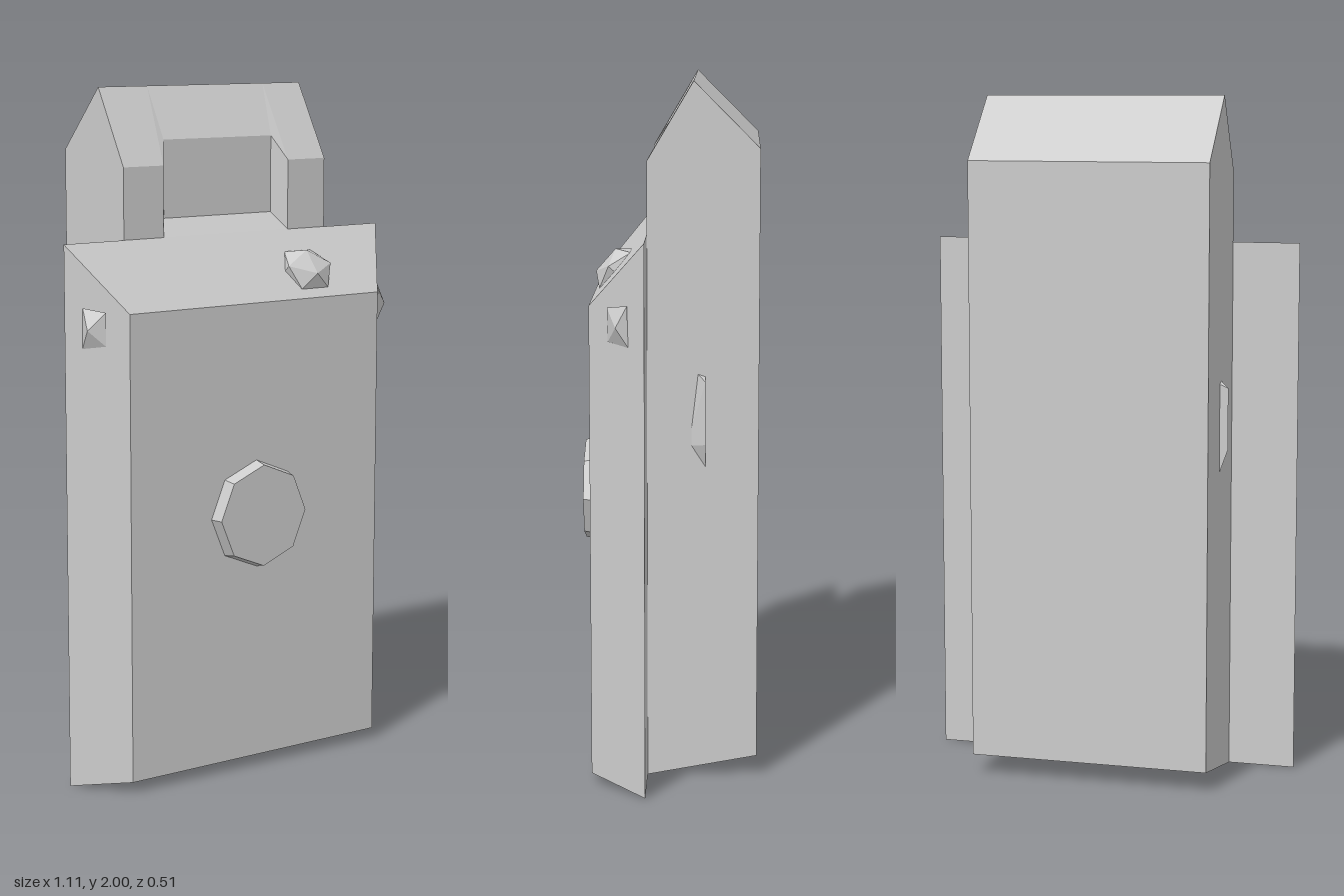
import * as THREE from 'three';
import { ConvexGeometry } from 'three/addons/geometries/ConvexGeometry.js';

const material = new THREE.MeshStandardMaterial({ color: 0xcccccc, flatShading: true });

function addPart(parent, name, geometry) {
  const mesh = new THREE.Mesh(geometry, material);
  mesh.name = name;
  parent.add(mesh);
  return mesh;
}

const hull = (points) => new ConvexGeometry(points.map((p) => new THREE.Vector3(...p)));

// Joins [z, y] profiles with equal point counts along x and caps both ends
function loftAlongX(sections) {
  const n = sections[0].profile.length;
  const positions = sections.flatMap(({ x, profile }) => profile.flatMap(([z, y]) => [x, y, z]));
  const index = [];
  for (let i = 0; i < sections.length - 1; i++) {
    for (let j = 0; j < n; j++) {
      const k = (j + 1) % n;
      const a = i * n + j, b = a + n, c = (i + 1) * n + k, d = i * n + k;
      index.push(a, b, c, a, c, d);
    }
  }
  const end = (sections.length - 1) * n;
  for (let j = 0; j < n - 2; j++) {
    index.push(n - 1, j, j + 1, end + n - 1, end + j + 1, end + j);
  }
  const geometry = new THREE.BufferGeometry();
  geometry.setAttribute('position', new THREE.Float32BufferAttribute(positions, 3));
  geometry.setIndex(index);
  const flat = geometry.toNonIndexed();
  flat.computeVertexNormals();
  return flat;
}

export function createModel() {
  const model = new THREE.Group();
  model.name = 'model';

  // Body with a ridged top and a recess in the upper front
  const rear = [[-0.07, 2], [-0.255, 1.815], [-0.255, 0.06]];
  const full = [[0.06, 0], [0.06, 1.575], [0.06, 1.575], [0.06, 1.78], ...rear];
  const recessed = [[0.06, 0], [0.06, 1.575], [0.015, 1.625], [0.015, 1.85], ...rear];
  addPart(model, 'body', loftAlongX([
    { x: -0.355, profile: full },
    { x: -0.22, profile: full },
    { x: -0.19, profile: recessed },
    { x: 0.19, profile: recessed },
    { x: 0.22, profile: full },
    { x: 0.355, profile: full },
  ]));

  // Front plate with sloped edges
  const plate = [];
  for (const s of [-1, 1]) {
    plate.push([s * 0.553, 0, 0.06], [s * 0.553, 1.575, 0.06]);
    plate.push([s * 0.438, 0.033, 0.218], [s * 0.438, 1.388, 0.218]);
  }
  addPart(model, 'frontPlate', hull(plate));

  // Eight-sided knob
  const knob = addPart(model, 'knob', new THREE.CylinderGeometry(0.15, 0.163, 0.06, 8));
  knob.rotation.x = Math.PI / 2;
  knob.position.set(-0.005, 0.77, 0.227);

  // Faceted stud on the upper slope
  const stud = addPart(model, 'topStud', new THREE.IcosahedronGeometry(1, 0));
  stud.scale.set(0.09, 0.08, 0.045);
  stud.rotation.x = -0.72;
  stud.position.set(0.22, 1.464, 0.153);

  for (const s of [-1, 1]) {
    const side = s > 0 ? 'left' : 'right';

    // Pointed stud on the sloped plate edge
    addPart(model, side + 'Stud', hull([
      [s * 0.523, 1.4, 0.108], [s * 0.482, 1.39, 0.165],
      [s * 0.523, 1.285, 0.105], [s * 0.482, 1.295, 0.163],
      [s * 0.528, 1.34, 0.14], [s * 0.46, 1.34, 0.12],
    ]));

    // Wedge-shaped fin on the side of the body
    addPart(model, side + 'Fin', hull([
      [s * 0.345, 0.89, -0.105], [s * 0.345, 0.975, -0.05],
      [s * 0.345, 1.19, -0.075], [s * 0.345, 1.18, -0.105],
      [s * 0.38, 0.985, -0.105], [s * 0.38, 1.165, -0.105],
    ]));
  }

  return model;
}
